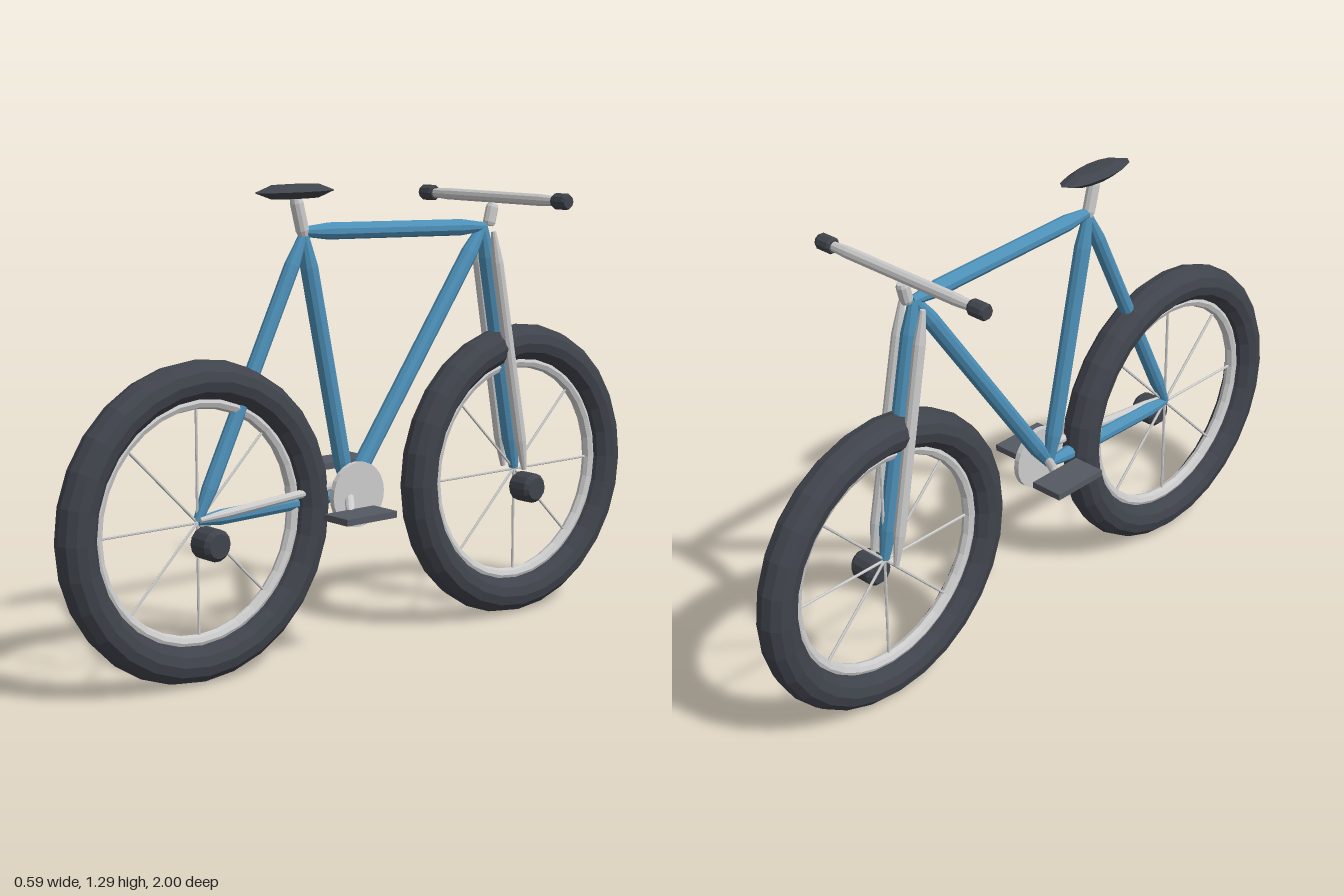
import * as THREE from 'three';

const material = (color) => new THREE.MeshStandardMaterial({ color, flatShading: true });
const V = (x, y, z) => new THREE.Vector3(x, y, z);

export function createModel() {
  const model = new THREE.Group();
  const blue = material(0x4d90b8);
  const dark = material(0x3f434b);
  const pedalGrey = material(0x555962);
  const light = material(0xcccccc);

  const add = (name, geometry, mat, parent = model) => {
    const mesh = new THREE.Mesh(geometry, mat);
    mesh.name = name;
    parent.add(mesh);
    return mesh;
  };

  // Round bar between two points, narrowing towards both ends
  const tube = (name, a, b, r, mat, parent = model, tip = 0.55, sides = 10) => {
    const length = a.distanceTo(b);
    const t = Math.min(0.09, length * 0.15);
    const profile = [[0, 0], [r * tip, 0], [r, t], [r, length - t], [r * tip, length], [0, length]]
      .map(([x, y]) => new THREE.Vector2(x, y));
    const mesh = add(name, new THREE.LatheGeometry(profile, sides), mat, parent);
    mesh.position.copy(a);
    mesh.quaternion.setFromUnitVectors(V(0, 1, 0), b.clone().sub(a).normalize());
    return mesh;
  };

  // Wheels
  const axleY = 0.427, axleZ = 0.573;
  for (const [name, z] of [['rearWheel', axleZ], ['frontWheel', -axleZ]]) {
    const wheel = new THREE.Group();
    wheel.name = name;
    wheel.position.set(0, axleY, z);
    model.add(wheel);
    add('tyre', new THREE.TorusGeometry(0.374, 0.053, 12, 28), dark, wheel).rotation.y = Math.PI / 2;
    add('rim', new THREE.TorusGeometry(0.316, 0.018, 8, 32), light, wheel).rotation.y = Math.PI / 2;
    for (let i = 0; i < 8; i++) {
      const a = (i * Math.PI) / 4;
      tube('spoke', V(0, 0, 0), V(0, 0.31 * Math.cos(a), 0.31 * Math.sin(a)), 0.004, light, wheel, 1, 6);
    }
    // Bevelled hub set to the left of the wheel
    const hub = tube('hub', V(0.015, -0.047, 0), V(0.097, -0.047, 0), 0.043, dark, wheel, 0.75, 14);
    hub.name = 'hub';
  }

  // Frame
  const seatTop = V(0, 1.155, 0.215);
  const head = V(0, 1.145, -0.44);
  const bottom = V(0, 0.44, 0.065);
  const rearAxle = V(0, 0.43, axleZ);
  const frontAxle = V(0, 0.43, -axleZ);
  tube('seatTube', seatTop, bottom, 0.024, blue);
  tube('topTube', V(0, 1.162, 0.22), V(0, 1.142, -0.445), 0.023, blue);
  tube('downTube', head, bottom, 0.024, blue);
  tube('seatStay', seatTop, rearAxle, 0.021, blue);
  tube('chainStay', rearAxle, bottom, 0.021, blue);
  tube('headTube', head, frontAxle, 0.024, blue);
  tube('chain', V(0.012, 0.435, axleZ), V(0.03, 0.478, 0.07), 0.012, light);

  // Fork
  for (const s of [-1, 1]) {
    tube('forkLeg', V(s * 0.038, 1.13, -0.445), V(s * 0.044, 0.43, -axleZ), 0.017, light, model, 0.45);
  }

  // Handlebar and stem
  tube('stem', V(0, 1.145, -0.462), V(0, 1.205, -0.478), 0.018, light, model, 0.8);
  tube('handlebar', V(-0.27, 1.225, -0.48), V(0.27, 1.225, -0.48), 0.017, light, model, 0.7);
  for (const s of [-1, 1]) {
    tube('grip', V(s * 0.243, 1.225, -0.48), V(s * 0.297, 1.225, -0.48), 0.023, dark, model, 0.8);
  }

  // Saddle
  tube('seatPost', V(0, 1.15, 0.215), V(0, 1.255, 0.242), 0.018, light, model, 0.75);
  const saddleProfile = [[0, -0.02], [0.6, -0.018], [1, 0], [0.6, 0.018], [0, 0.02]]
    .map(([x, y]) => new THREE.Vector2(x, y));
  const saddle = add('saddle', new THREE.LatheGeometry(saddleProfile, 12), dark);
  saddle.scale.set(0.045, 1, 0.133);
  saddle.position.set(0, 1.269, 0.243);

  // Chainring
  const ring = add('chainring', new THREE.CylinderGeometry(0.09, 0.09, 0.016, 24), light);
  ring.rotation.z = Math.PI / 2;
  ring.position.set(0.045, 0.442, 0.068);

  // Cranks and pedals, opposite one another
  const crankCentre = V(0, 0.4525, 0.06);
  for (const s of [-1, 1]) {
    tube('crank', crankCentre, V(s * 0.112, 0.4525 - s * 0.042, 0.06 + s * 0.088), 0.013, light);
    const pedal = add('pedal', new THREE.BoxGeometry(0.096, 0.018, 0.174), pedalGrey);
    pedal.position.set(s * 0.154, 0.4525 - s * 0.042, 0.06 + s * 0.088);
  }

  return model;
}
